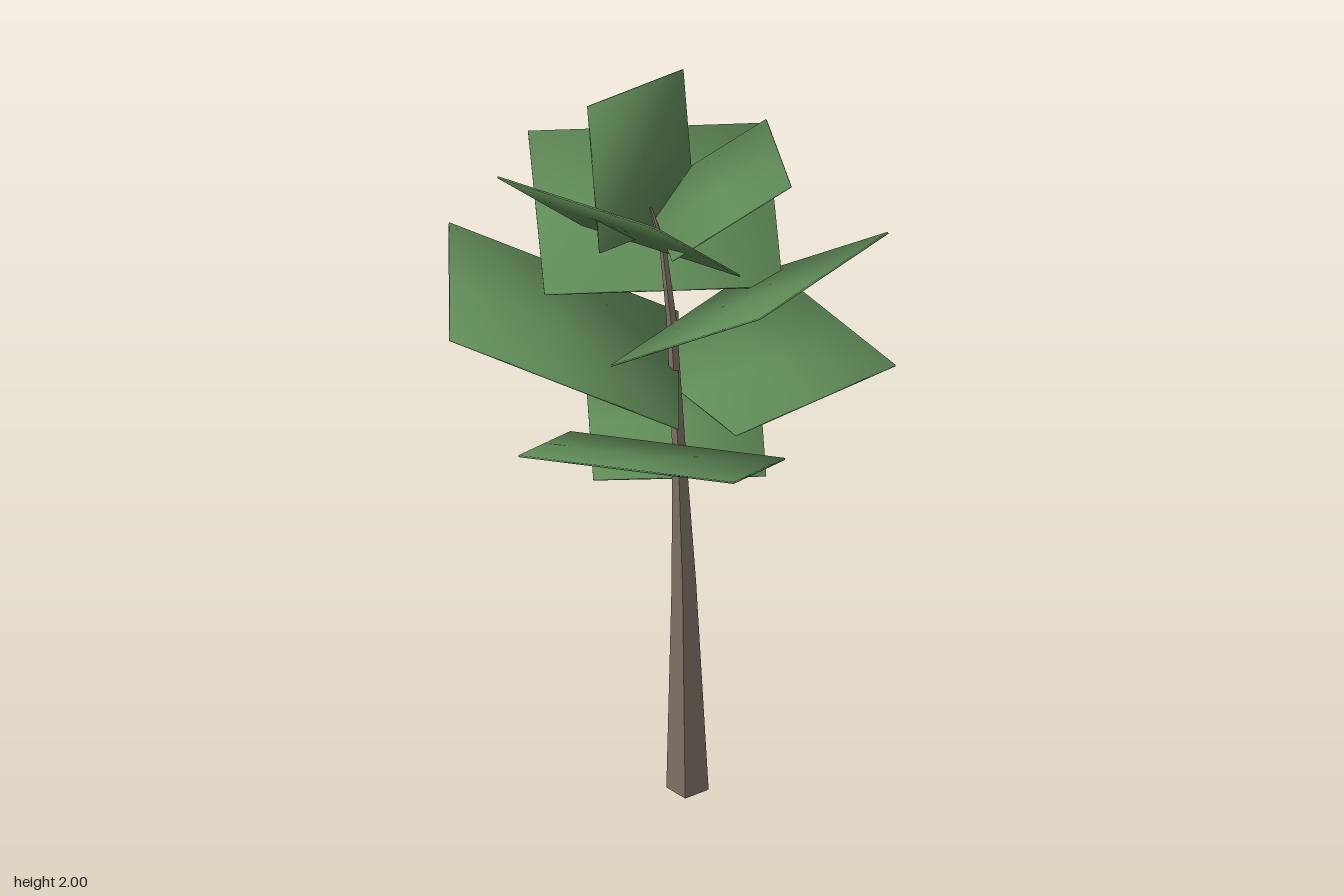
import * as THREE from 'three';

const foliage = new THREE.MeshStandardMaterial({ color: 0x5f8a57 });
foliage.name = 'leaf green';
const bark = new THREE.MeshStandardMaterial({ color: 0x7d7166, flatShading: true });
bark.name = 'bark brown';

// Four-sided trunk, leaning and tapering through rows of [x, y, z, radius]
function makeTrunk() {
  const rows = [
    [0.08, 0, -0.043, 0.0535],
    [0.083, 0.6, -0.025, 0.031],
    [0.08, 1.0, -0.008, 0.017],
    [0.074, 1.36, 0.013, 0.013],
    [0.06, 1.56, 0.028, 0.009],
    [0.03, 1.68, 0.042, 0.004],
  ];
  const n = rows.length - 1;
  const geo = new THREE.CylinderGeometry(1, 1, 1, 4, n, false, 0.57);
  const pos = geo.attributes.position;
  for (let i = 0; i < pos.count; i++) {
    const [x, y, z, r] = rows[Math.round((pos.getY(i) + 0.5) * n)];
    pos.setXYZ(i, x + pos.getX(i) * r, y, z + pos.getZ(i) * r);
  }
  geo.computeVertexNormals();
  const mesh = new THREE.Mesh(geo, bark);
  mesh.name = 'trunk';
  return mesh;
}

// Thin leaf plate: a and b end the outer edge, c is the inner corner next to a
function makeLeafPlate(a, b, c) {
  const A = new THREE.Vector3(...a);
  const ab = new THREE.Vector3(...b).sub(A);
  const ac = new THREE.Vector3(...c).sub(A);
  const geo = new THREE.BoxGeometry(ab.length(), 0.005, ac.length(), 2, 1, 2);

  // Normals spread towards the rim, so each plate shades like a soft cushion
  const pos = geo.attributes.position;
  const normal = new THREE.Vector3();
  const side = (v) => (Math.abs(v) < 1e-6 ? 0 : Math.sign(v));
  for (let i = 0; i < pos.count; i++) {
    normal.set(0.7 * side(pos.getX(i)), side(pos.getY(i)), 0.7 * side(pos.getZ(i))).normalize();
    geo.attributes.normal.setXYZ(i, normal.x, normal.y, normal.z);
  }

  const centre = A.clone().addScaledVector(ab, 0.5).addScaledVector(ac, 0.5);
  const x = ab.normalize();
  const y = ac.normalize().clone().cross(x).normalize();
  const z = x.clone().cross(y);
  geo.applyMatrix4(new THREE.Matrix4().makeBasis(x, y, z).setPosition(centre));
  return new THREE.Mesh(geo, foliage);
}

export function createModel() {
  const tree = new THREE.Group();
  tree.name = 'tree';
  tree.add(makeTrunk());

  // Leaf plates from the lowest to the highest
  const plates = [
    [[-0.37, 0.99, -0.19], [-0.045, 0.99, -0.48], [-0.085, 0.9, 0.13]],
    [[0.55, 1.2, 0.35], [0.04, 1.2, 0.58], [0.335, 1.0, -0.115]],
    [[0.015, 1.205, -0.55], [0.48, 1.205, -0.38], [-0.145, 1.135, -0.11]],
    [[-0.56, 1.47, 0.12], [-0.17, 1.47, 0.6], [-0.11, 1.215, -0.24]],
    [[0.53, 1.64, -0.29], [0.565, 1.64, 0.265], [0.07, 1.36, -0.26]],
    [[-0.555, 1.6, -0.195], [-0.115, 1.6, -0.605], [-0.16, 1.45, 0.237]],
    [[-0.15, 1.87, 0.43], [0.33, 1.87, 0.39], [-0.185, 1.565, 0.055]],
    [[0.12, 1.815, -0.31], [0.39, 1.815, -0.075], [-0.08, 1.63, -0.08]],
    [[-0.06, 2.0, 0.185], [-0.06, 1.945, -0.195], [0.022, 1.63, 0.234]],
  ];
  const crown = new THREE.Group();
  crown.name = 'crown';
  plates.forEach((corners, i) => {
    const plate = makeLeafPlate(...corners);
    plate.name = `leafPlate${i + 1}`;
    crown.add(plate);
  });
  tree.add(crown);
  return tree;
}
